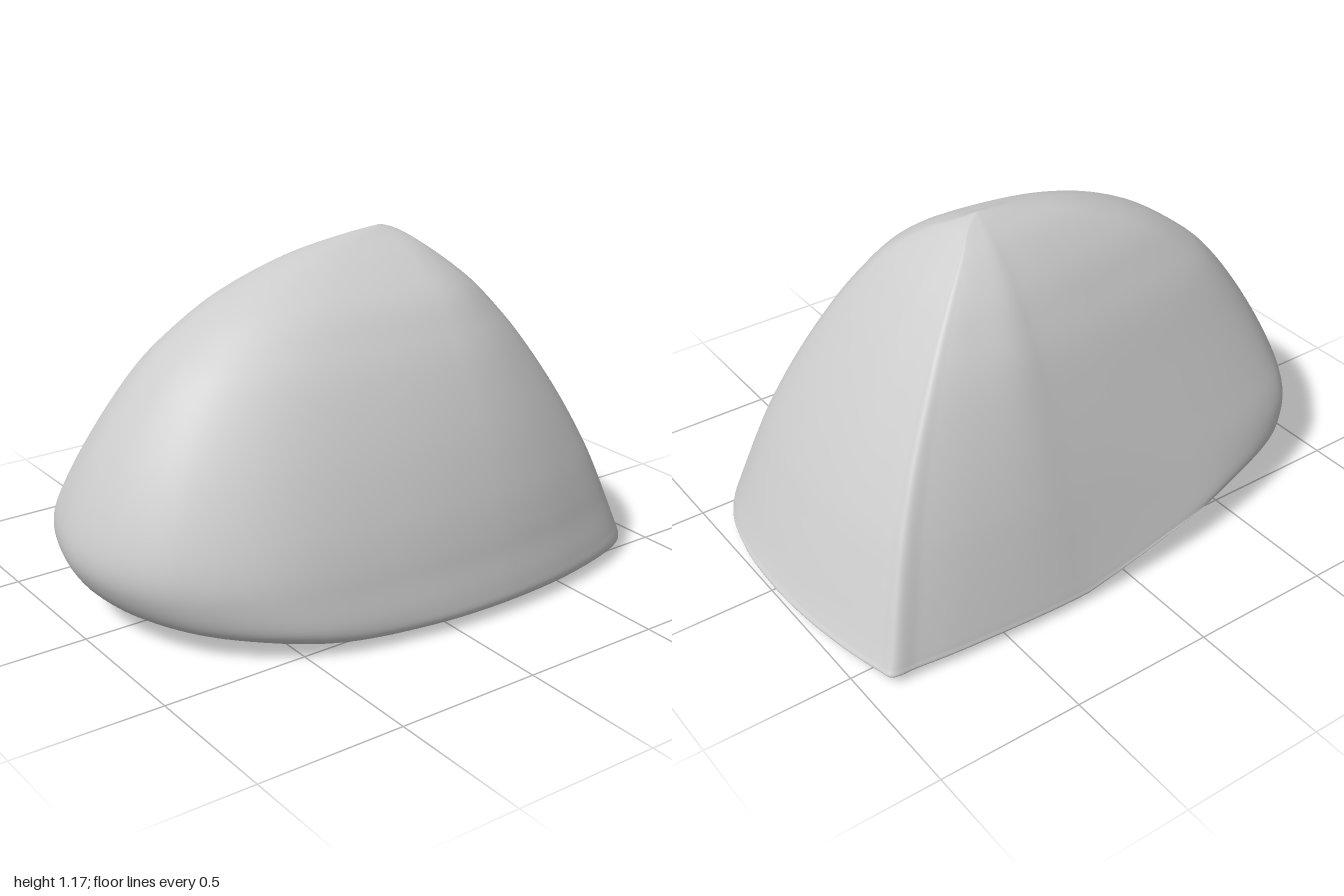
import * as THREE from 'three';

// Height, then left, right, front and back limits of each horizontal slice
const LEVELS = [
  [0.0, -0.42, 0.42, 0.3, -0.72], [0.012, -0.56, 0.52, 0.52, -0.95],
  [0.03, -0.648, 0.63, 0.68, -1.0], [0.05, -0.645, 0.648, 0.79, -0.99],
  [0.1, -0.632, 0.645, 0.91, -0.967], [0.2, -0.605, 0.625, 0.985, -0.925],
  [0.28, -0.583, 0.61, 1.0, -0.89], [0.4, -0.548, 0.58, 0.97, -0.835],
  [0.6, -0.48, 0.51, 0.87, -0.725], [0.8, -0.4, 0.415, 0.72, -0.595],
  [0.9, -0.345, 0.35, 0.605, -0.52], [1.0, -0.275, 0.265, 0.45, -0.435],
  [1.1, -0.175, 0.115, 0.2, -0.325], [1.15, -0.095, 0.0, -0.03, -0.255],
];
const CENTRE = new THREE.Vector3(-0.04, 0, -0.19);
const APEX = new THREE.Vector3(-0.045, 1.172, -0.19);

// Slice outlines in fractions of those limits, clockwise from the back right-hand corner;
// each row is x, z at the foot, then x, z at the top
const OUTLINE = [
  [-0.925, -0.885, -0.78, -0.94], [-0.84, -0.91, -0.7, -0.955],
  [-0.59, -0.955, -0.45, -0.98], [-0.26, -0.99, -0.2, -1],
  [0.05, -1, 0.05, -1], [0.36, -0.98, 0.3, -0.985],
  [0.66, -0.91, 0.55, -0.94], [0.82, -0.8, 0.73, -0.86],
  [0.95, -0.45, 0.93, -0.5], [1, 0, 1, 0],
  [0.97, 0.33, 0.93, 0.35], [0.86, 0.64, 0.77, 0.66],
  [0.6, 0.86, 0.52, 0.88], [0.3, 0.965, 0.25, 0.98],
  [0, 1, 0, 1], [-0.28, 0.985, -0.28, 0.98],
  [-0.58, 0.945, -0.56, 0.89], [-0.76, 0.89, -0.7, 0.74],
  [-0.93, 0.62, -0.85, 0.42], [-0.985, 0.32, -0.945, 0.15],
  [-1, -0.1, -1, -0.2], [-0.965, -0.6, -0.92, -0.58],
  [-0.94, -0.78, -0.83, -0.85],
];
const closedCurve = k => new THREE.CatmullRomCurve3(
  OUTLINE.map(row => new THREE.Vector3(row[k], 0, row[k + 1])), true, 'centripetal');

function createBoulderGeometry(around = 184, up = 90) {
  const foot = closedCurve(0), top = closedCurve(2);
  const positions = [], index = [];
  for (let i = 0; i < around; i++) {
    // One rib from the middle of the underside to the peak
    const low = foot.getPoint(i / around), high = top.getPoint(i / around);
    const points = LEVELS.map(([y, left, right, front, back]) => {
      const f = low.clone().lerp(high, Math.min(1, y / 0.9));
      // The lower edge rises toward the front right-hand corner
      const rise = 0.18 * Math.min(0, f.x) ** 2 * Math.max(0, f.z)
        * Math.min(1, y / 0.03) * Math.max(0, 1 - y / 0.5);
      return new THREE.Vector3(
        CENTRE.x + f.x * (f.x < 0 ? CENTRE.x - left : right - CENTRE.x),
        y + rise,
        CENTRE.z + f.z * (f.z < 0 ? CENTRE.z - back : front - CENTRE.z));
    });
    const rib = new THREE.CatmullRomCurve3([CENTRE, ...points, APEX], false, 'centripetal');
    for (let j = 1; j < up; j++) {
      const p = rib.getPoint(j / up);
      positions.push(p.x, Math.max(p.y, 0), p.z);
    }
  }
  const rows = up - 1, base = around * rows, peak = base + 1;
  positions.push(...CENTRE.toArray(), ...APEX.toArray());
  for (let i = 0; i < around; i++) {
    const a = i * rows, b = ((i + 1) % around) * rows;
    index.push(base, a, b);
    for (let j = 0; j < rows - 1; j++) {
      index.push(a + j, a + j + 1, b + j, b + j, a + j + 1, b + j + 1);
    }
    index.push(peak, b + rows - 1, a + rows - 1);
  }
  const geometry = new THREE.BufferGeometry();
  geometry.setAttribute('position', new THREE.Float32BufferAttribute(positions, 3));
  geometry.setIndex(index);
  geometry.computeVertexNormals();
  return geometry;
}

export function createModel() {
  const stone = new THREE.MeshStandardMaterial({ color: 0xcccccc });
  stone.name = 'stoneGrey';
  const boulder = new THREE.Mesh(createBoulderGeometry(), stone);
  boulder.name = 'boulder';
  const group = new THREE.Group();
  group.name = 'rock';
  group.add(boulder);
  return group;
}
